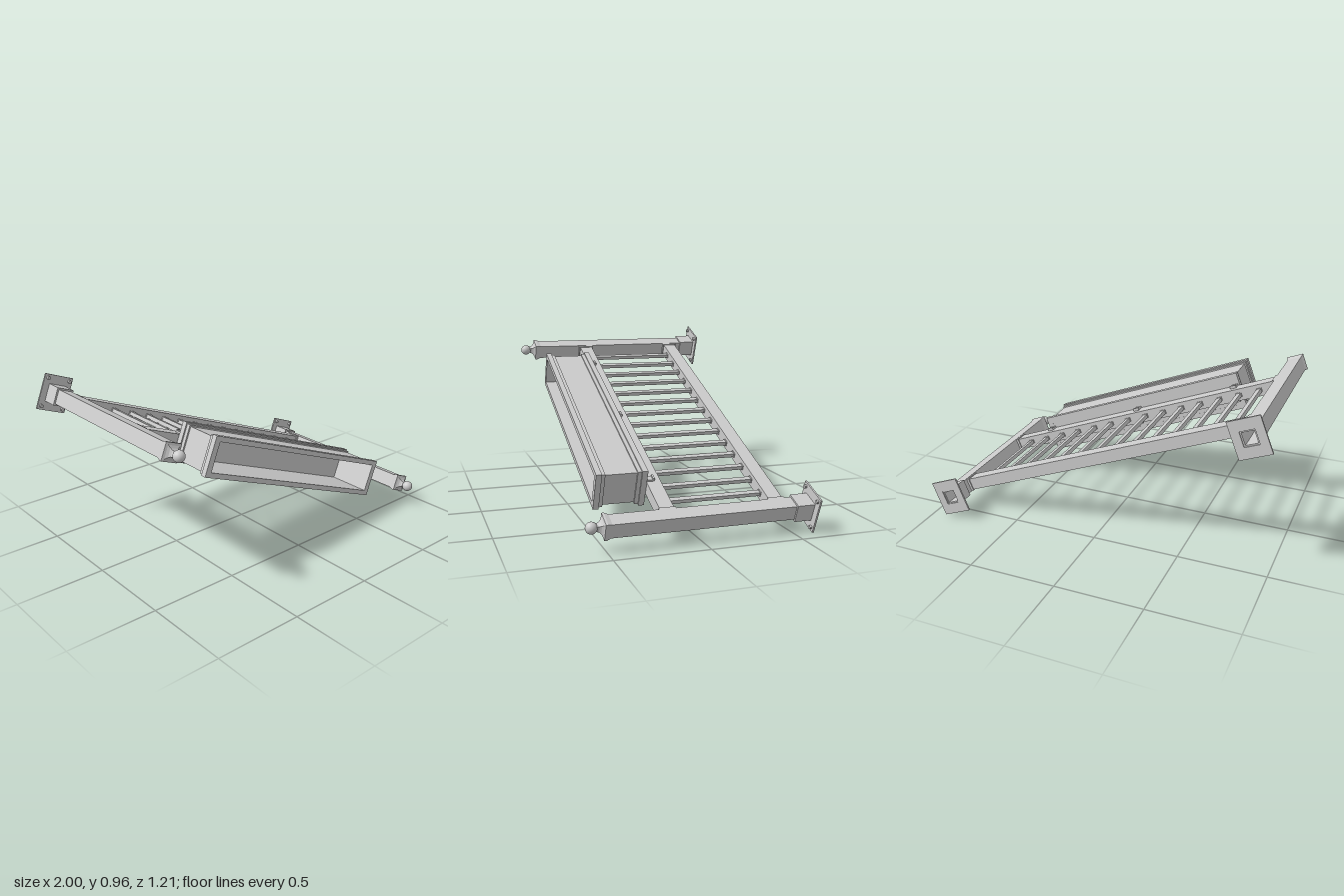
import * as THREE from 'three';

const smooth = new THREE.MeshStandardMaterial({ color: 0xcccccc });
const flat = new THREE.MeshStandardMaterial({ color: 0xcccccc, flatShading: true, side: THREE.DoubleSide });

function add(parent, name, geometry, x = 0, y = 0, z = 0, material = flat) {
  const mesh = new THREE.Mesh(geometry, material);
  mesh.name = name;
  mesh.position.set(x, y, z);
  parent.add(mesh);
  return mesh;
}

// Box spanning z0 to z1, centred on x, y
function bar(parent, name, w, h, z0, z1, x = 0, y = 0) {
  return add(parent, name, new THREE.BoxGeometry(w, h, z1 - z0), x, y, (z0 + z1) / 2);
}

function rectangle(target, w, h) {
  target.moveTo(-w / 2, -h / 2);
  target.lineTo(w / 2, -h / 2);
  target.lineTo(w / 2, h / 2);
  target.lineTo(-w / 2, h / 2);
  target.closePath();
  return target;
}

// Rectangular tube spanning z0 to z1
function frame(parent, name, w, h, holeW, holeH, z0, z1) {
  const shape = rectangle(new THREE.Shape(), w, h);
  shape.holes.push(rectangle(new THREE.Path(), holeW, holeH));
  const geometry = new THREE.ExtrudeGeometry(shape, { depth: z1 - z0, bevelEnabled: false });
  return add(parent, name, geometry, 0, 0, z0);
}

function makePost(x) {
  const post = new THREE.Group();
  post.name = 'post';
  post.position.x = x;

  // Hollow post in its socket, on a bolted plate
  frame(post, 'postShaft', 0.083, 0.083, 0.068, 0.068, -0.6, 0.49);
  frame(post, 'postSocket', 0.102, 0.102, 0.083, 0.083, -0.6, -0.5);
  frame(post, 'basePlate', 0.178, 0.207, 0.083, 0.083, -0.606, -0.596);
  for (const sx of [-1, 1]) for (const sy of [-1, 1]) {
    const bolt = new THREE.CylinderGeometry(0.01, 0.01, 0.014, 12).rotateX(Math.PI / 2);
    add(post, 'bolt', bolt, sx * 0.068, sy * 0.082, -0.59);
  }

  // Square flared cap: half width and height along the post
  const profile = [[0, 0.484], [0.0415, 0.484], [0.0485, 0.506], [0.0485, 0.518],
    [0.036, 0.522], [0.024, 0.53], [0.017, 0.54], [0.015, 0.552], [0, 0.552]]
    .map(([r, h]) => new THREE.Vector2(r * Math.SQRT2, h));
  const cap = new THREE.LatheGeometry(profile, 4).rotateY(Math.PI / 4).rotateX(Math.PI / 2);
  add(post, 'postCap', cap);
  add(post, 'ballFinial', new THREE.SphereGeometry(0.031, 24, 16), 0, 0, 0.576, smooth);
  return post;
}

function makeRail(name, z) {
  const rail = new THREE.Group();
  rail.name = name;
  bar(rail, 'railBar', 1.81, 0.07, z - 0.039, z + 0.039);
  for (const s of [-1, 1]) bar(rail, 'railBracket', 0.014, 0.08, z - 0.045, z + 0.045, s * 0.897);
  return rail;
}

function makePlanter() {
  const planter = new THREE.Group();
  planter.name = 'planterBox';
  // Stepped mouldings around a recessed trough: inset, start, end
  const layers = [
    ['baseMoulding', 0, 0.217, 0.248], ['baseStep', 0.007, 0.248, 0.27],
    ['troughWall', 0.015, 0.27, 0.443],
    ['rimStep', 0.007, 0.443, 0.463], ['rim', 0, 0.463, 0.494],
  ];
  for (const [name, inset, z0, z1] of layers)
    frame(planter, name, 1.346 - 2 * inset, 0.218 - 2 * inset, 1.28, 0.162, z0, z1);
  bar(planter, 'troughFloor', 1.29, 0.17, 0.218, 0.24);

  // Clips holding the trough to the rail
  for (const x of [-0.645, 0, 0.645]) for (const s of [-1, 1]) {
    bar(planter, 'clip', 0.036, 0.01, 0.175, 0.22, x, s * 0.04);
    bar(planter, 'clipLip', 0.036, 0.02, 0.172, 0.182, x, s * 0.042);
  }
  return planter;
}

export function createModel() {
  const model = new THREE.Group();
  model.name = 'railingWithPlanter';
  const railing = new THREE.Group();
  railing.name = 'railing';
  railing.rotation.z = -THREE.MathUtils.degToRad(21.8);
  railing.position.y = 0.482;
  model.add(railing);

  for (const s of [-1, 1]) railing.add(makePost(s * 0.946));
  railing.add(makeRail('topRail', 0.178), makeRail('bottomRail', -0.419));

  // Evenly spaced balusters with end sockets
  for (let i = 0; i < 14; i++) {
    const x = (i - 6.5) * 0.1228 - 0.004;
    bar(railing, 'baluster', 0.027, 0.021, -0.39, 0.15, x);
    bar(railing, 'balusterSocket', 0.032, 0.026, -0.385, -0.374, x);
    bar(railing, 'balusterSocket', 0.032, 0.026, 0.133, 0.144, x);
  }

  railing.add(makePlanter());
  return model;
}
